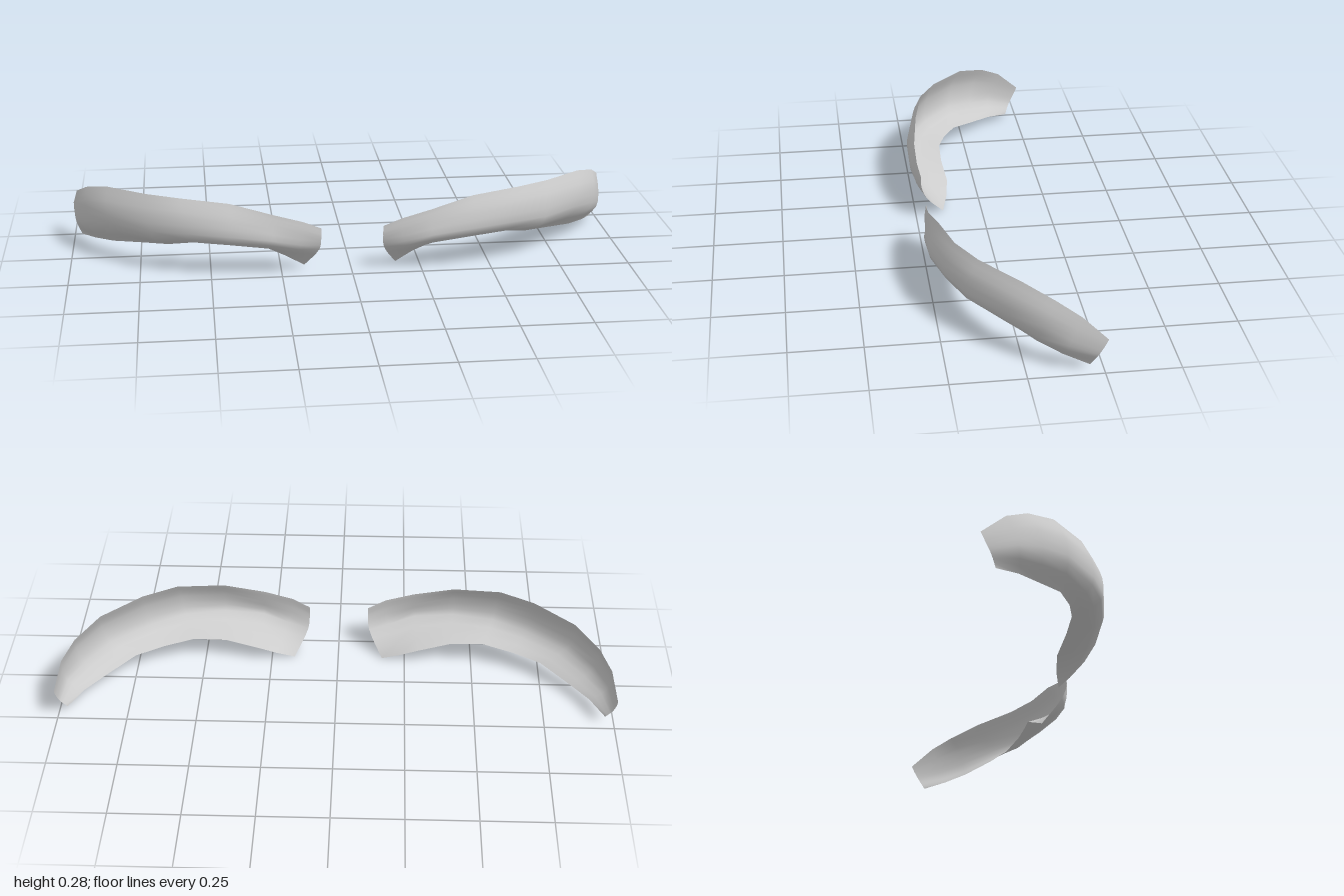
import * as THREE from 'three';

// Cross-sections from the inner end to the outer end:
// each runs top edge, upper bulge, lower bulge, bottom edge as [x, y, z].
const SECTIONS = [
  [[0.11, 0.17, 0.23], [0.11, 0.135, 0.23], [0.115, 0.085, 0.212], [0.165, 0.0, 0.145]],
  [[0.175, 0.2, 0.24], [0.175, 0.155, 0.245], [0.19, 0.095, 0.235], [0.23, 0.03, 0.125]],
  [[0.28, 0.23, 0.24], [0.28, 0.18, 0.248], [0.285, 0.12, 0.255], [0.3, 0.06, 0.115]],
  [[0.43, 0.27, 0.22], [0.43, 0.21, 0.248], [0.43, 0.135, 0.25], [0.42, 0.087, 0.125]],
  [[0.6, 0.284, 0.185], [0.59, 0.22, 0.217], [0.58, 0.14, 0.213], [0.54, 0.093, 0.12]],
  [[0.72, 0.282, 0.12], [0.72, 0.215, 0.152], [0.7, 0.13, 0.158], [0.65, 0.078, 0.09]],
  [[0.86, 0.273, 0.0], [0.865, 0.205, 0.035], [0.84, 0.125, 0.048], [0.75, 0.07, 0.04]],
  [[0.94, 0.24, -0.1], [0.945, 0.18, -0.065], [0.925, 0.1, -0.048], [0.85, 0.045, -0.05]],
  [[0.98, 0.2, -0.175], [0.985, 0.14, -0.15], [0.975, 0.08, -0.13], [0.92, 0.032, -0.125]],
  [[1.0, 0.125, -0.257], [0.998, 0.095, -0.243], [0.99, 0.055, -0.222], [0.97, 0.018, -0.205]],
];
const STEPS = 9;

// Thin curved shell lofted through the sections; side is +1 or -1
function shellGeometry(side) {
  const positions = [];
  const indices = [];
  for (const section of SECTIONS) {
    const curve = new THREE.CatmullRomCurve3(
      section.map(([x, y, z]) => new THREE.Vector3(side * x, y, z)));
    for (const p of curve.getPoints(STEPS)) positions.push(p.x, p.y, p.z);
  }
  const row = STEPS + 1;
  for (let i = 0; i < SECTIONS.length - 1; i++) {
    for (let j = 0; j < STEPS; j++) {
      const a = i * row + j, b = a + 1, c = a + row, d = c + 1;
      if (side > 0) indices.push(a, b, c, b, d, c);
      else indices.push(a, c, b, b, c, d);
    }
  }
  const geometry = new THREE.BufferGeometry();
  geometry.setAttribute('position', new THREE.Float32BufferAttribute(positions, 3));
  geometry.setIndex(indices);
  geometry.computeVertexNormals();
  return geometry;
}

export function createModel() {
  const group = new THREE.Group();
  group.name = 'curvedShells';
  const grey = new THREE.MeshStandardMaterial({ color: 0xcccccc, side: THREE.DoubleSide });
  grey.name = 'light grey';
  for (const [name, side] of [['leftShell', 1], ['rightShell', -1]]) {
    const mesh = new THREE.Mesh(shellGeometry(side), grey);
    mesh.name = name;
    group.add(mesh);
  }
  return group;
}
